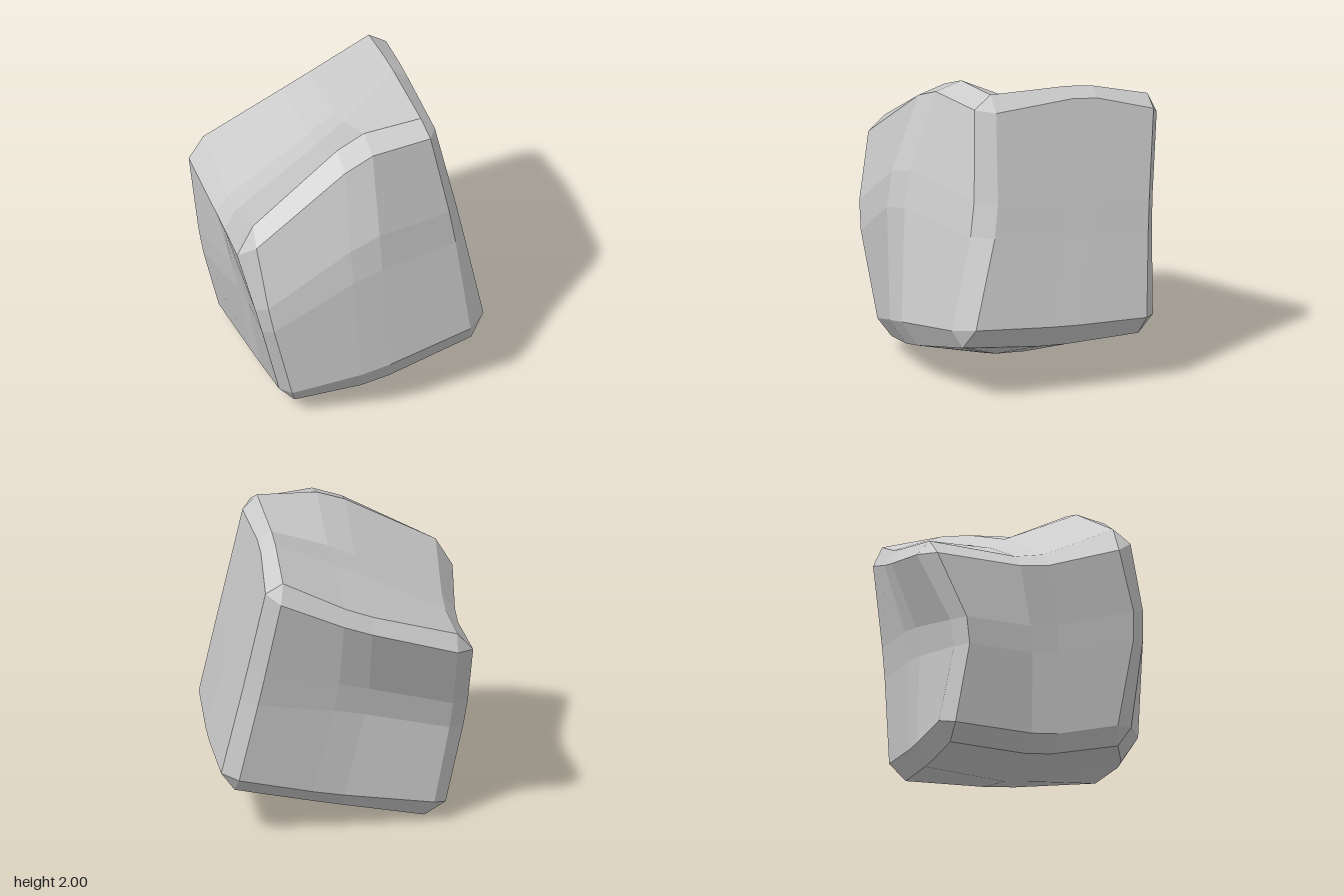
import * as THREE from 'three';

// Each face of the boulder: 3 x 3 control points, rows top to bottom,
// columns left to right as seen from outside.
const SIDES = [
  // front
  [[[-.47, 1.43, .88], [.18, 1.9, .55], [.63, 1.92, .28]],
    [[-.37, .89, .945], [.24, 1.27, .75], [.775, 1.22, .305]],
    [[-.24, .22, .84], [.3, .38, .77], [.9, .5, .45]]],
  // left (+x)
  [[[.65, 1.9, .14], [.41, 1.91, -.46], [.27, 1.78, -.92]],
    [[.805, 1.21, .15], [.605, 1.14, -.4], [.425, 1.1, -.875]],
    [[.975, .52, .3], [.79, .475, -.3], [.58, .45, -.85]]],
  // back
  [[[.16, 1.72, -.95], [-.31, 1.5, -.76], [-.91, 1.27, -.45]],
    [[.3, 1.08, -.908], [-.24, .95, -.61], [-.82, .73, -.23]],
    [[.45, .43, -.9], [-.09, .28, -.64], [-.73, .15, -.34]]],
  // right (-x)
  [[[-.98, 1.24, -.3], [-.74, 1.2, .3], [-.6, 1.33, .83]],
    [[-.89, .71, -.11], [-.61, .73, .34], [-.455, .85, .9]],
    [[-.78, .11, -.22], [-.505, .1, .32], [-.33, .2, .77]]],
];
// rows back to front
const TOP = [
  [[-.89, 1.37, -.37], [-.31, 1.6, -.7], [.16, 1.85, -.89]],
  [[-.665, 1.31, .25], [-.07, 1.7, -.08], [.32, 1.967, -.435]],
  [[-.5, 1.53, .77], [.115, 1.95, .375], [.56, 2, .17]],
];
// rows front to back
const BOTTOM = [
  [[-.23, .1, .75], [.29, .21, .66], [.9, .38, .38]],
  [[-.42, 0, .255], [.13, .085, .05], [.71, .32, -.22]],
  [[-.65, .03, -.28], [-.05, .17, -.54], [.5, .32, -.8]],
];

// Quadratic through three points, cut so a narrow band runs across the middle
const CUTS = [0, 0.42, 0.58, 1];
function bend([a, b, c]) {
  return CUTS.map((t) => a.clone().multiplyScalar((1 - t) * (1 - 2 * t))
    .addScaledVector(b, 4 * t * (1 - t))
    .addScaledVector(c, t * (2 * t - 1)));
}
const column = (grid, i) => grid.map((row) => row[i]);

// 3 x 3 control points to a 4 x 4 grid
function patch(control) {
  const rows = control.map((row) => bend(row.map((p) => new THREE.Vector3(...p))));
  const columns = CUTS.map((_, i) => bend(column(rows, i)));
  return CUTS.map((_, j) => column(columns, j));
}

export function createModel() {
  const positions = [];
  const normals = [];
  const centre = new THREE.Vector3(0, 1, 0);

  // Triangles of one facet, sharing a normal that faces away from the centre
  function facet(normal, triangles) {
    const out = triangles[0][0].clone().sub(centre);
    const flip = normal.dot(out) < 0;
    if (flip) normal.negate();
    normal.normalize();
    for (const [a, b, c] of triangles) {
      for (const p of flip ? [a, c, b] : [a, b, c]) {
        positions.push(...p);
        normals.push(...normal);
      }
    }
  }
  function triangle(a, b, c) {
    facet(b.clone().sub(a).cross(c.clone().sub(a)), [[a, b, c]]);
  }
  // Quad split along its shorter diagonal
  function quad(a, b, c, d) {
    const normal = c.clone().sub(a).cross(d.clone().sub(b));
    facet(normal, a.distanceTo(c) < b.distanceTo(d)
      ? [[a, b, c], [a, c, d]]
      : [[a, b, d], [b, c, d]]);
  }
  // Band of quads between two rows of points
  function strip(a, b) {
    for (let i = 0; i < a.length - 1; i++) quad(a[i], b[i], b[i + 1], a[i + 1]);
  }

  const sides = SIDES.map(patch);
  const top = patch(TOP);
  const bottom = patch(BOTTOM);

  // Six faces
  for (const grid of [...sides, top, bottom]) {
    for (let j = 0; j < 3; j++) strip(grid[j], grid[j + 1]);
  }

  // Rims of top and bottom, one edge per side face
  const topRim = [top[3], column(top, 3).reverse(), [...top[0]].reverse(), column(top, 0)];
  const bottomRim = [bottom[0], column(bottom, 3), [...bottom[3]].reverse(), column(bottom, 0).reverse()];

  // Chamfers along the edges and small triangles at the corners
  sides.forEach((side, i) => {
    const next = sides[(i + 1) % 4];
    strip(topRim[i], side[0]);
    strip(side[3], bottomRim[i]);
    strip(column(side, 3), column(next, 0));
    triangle(topRim[i][3], side[0][3], next[0][0]);
    triangle(bottomRim[i][3], side[3][3], next[3][0]);
  });

  const geometry = new THREE.BufferGeometry();
  geometry.setAttribute('position', new THREE.Float32BufferAttribute(positions, 3));
  geometry.setAttribute('normal', new THREE.Float32BufferAttribute(normals, 3));

  const boulder = new THREE.Mesh(geometry, new THREE.MeshStandardMaterial({ color: 0xcccccc }));
  boulder.name = 'boulder';

  const group = new THREE.Group();
  group.name = 'rock';
  group.add(boulder);
  return group;
}
